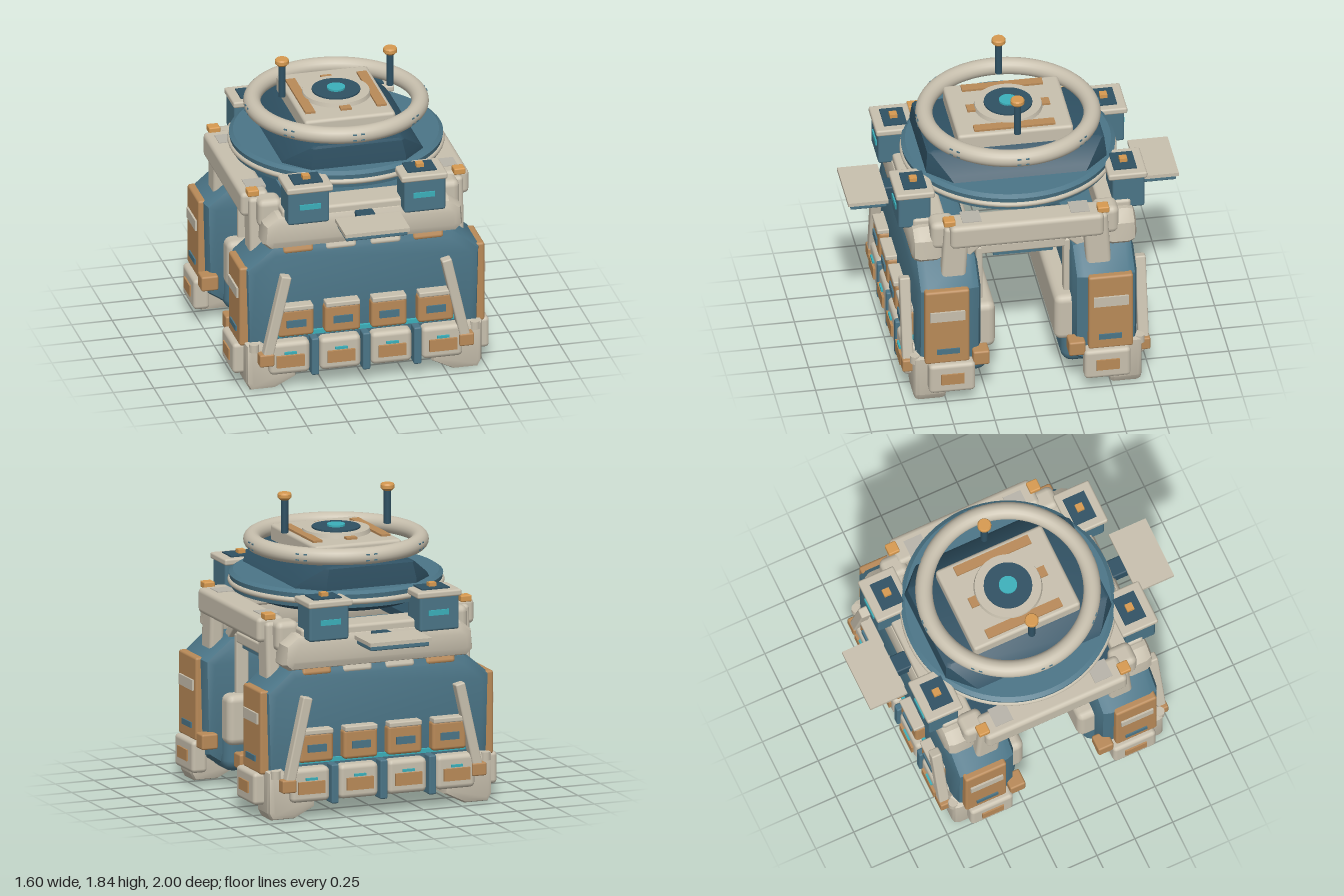
import * as THREE from 'three';
import { RoundedBoxGeometry } from 'three/addons/geometries/RoundedBoxGeometry.js';
import { ConvexGeometry } from 'three/addons/geometries/ConvexGeometry.js';
import { toCreasedNormals } from 'three/addons/utils/BufferGeometryUtils.js';

const mat = (color) => new THREE.MeshStandardMaterial({ color });
const blue = mat(0x4b7587), dark = mat(0x2f5163), beige = mat(0xc8c0ae);
const orange = mat(0xb98a58), amber = mat(0xd79a50), cyan = mat(0x3bb0bb), grey = mat(0xb8b4aa);

function add(parent, name, geometry, material, x = 0, y = 0, z = 0) {
  const mesh = new THREE.Mesh(geometry, material);
  mesh.name = name;
  mesh.position.set(x, y, z);
  parent.add(mesh);
  return mesh;
}

// Box given by its limits; r rounds the edges
function box(parent, name, material, [x0, x1], [y0, y1], [z0, z1], r = 0) {
  const s = [x1 - x0, y1 - y0, z1 - z0];
  const g = r ? new RoundedBoxGeometry(...s, 2, r) : new THREE.BoxGeometry(...s);
  return add(parent, name, g, material, (x0 + x1) / 2, (y0 + y1) / 2, (z0 + z1) / 2);
}

// Span of width w about c
const span = (c, w) => [c - w / 2, c + w / 2];
// Span mirrored by side s
const side = (s, a, b) => (s > 0 ? [a, b] : [-b, -a]);

function cyl(parent, name, material, rTop, rBottom, y0, y1, x = 0, z = 0, n = 48) {
  return add(parent, name, new THREE.CylinderGeometry(rTop, rBottom, y1 - y0, n), material, x, (y0 + y1) / 2, z);
}

// Bevelled slab: front outline pushed from z0 to z1
function slab(parent, name, material, points, z0, z1, bevel) {
  const shape = new THREE.Shape(points.map(([x, y]) => new THREE.Vector2(x, y)));
  const g = new THREE.ExtrudeGeometry(shape, {
    depth: z1 - z0 - 2 * bevel, bevelThickness: bevel, bevelSize: bevel, bevelOffset: -bevel, bevelSegments: 2,
  });
  return add(parent, name, toCreasedNormals(g, 0.6), material, 0, 0, z0 + bevel);
}

// Outline mirrored in x from its right half, listed bottom to top
const mirrored = (half) => [...half, ...half.map(([x, y]) => [-x, y]).reverse()];

function legPod() {
  const pod = new THREE.Group();
  pod.name = 'legPod';
  slab(pod, 'podBody', blue, mirrored([[0.56, 0.1], [0.71, 0.2], [0.725, 0.78], [0.56, 0.92]]), 0.28, 0.665, 0.06);
  box(pod, 'podBelly', blue, [-0.62, 0.62], [0.1, 0.37], [0.22, 0.5], 0.07);
  box(pod, 'innerPanel', beige, [-0.62, 0.62], [0.27, 0.58], [0.178, 0.34], 0.045);

  // Front pouches in two rows
  for (const x of [-0.47, -0.157, 0.157, 0.47]) {
    box(pod, 'lowerPouch', beige, span(x, 0.25), [0.11, 0.32], [0.62, 0.735], 0.03);
    box(pod, 'pouchPatch', orange, span(x, 0.17), [0.165, 0.24], [0.72, 0.75]);
    box(pod, 'pouchLight', cyan, span(x, 0.075), [0.247, 0.262], [0.72, 0.747]);
  }
  for (const x of [-0.43, -0.143, 0.143, 0.43]) {
    box(pod, 'upperPouch', orange, span(x, 0.22), [0.35, 0.53], [0.62, 0.725], 0.02);
    box(pod, 'pouchLid', beige, span(x, 0.21), [0.52, 0.552], [0.62, 0.735], 0.008);
    box(pod, 'pouchSlot', blue, span(x, 0.12), [0.415, 0.46], [0.71, 0.735]);
  }
  for (const x of [-0.315, 0, 0.315])
    box(pod, 'divider', blue, span(x, 0.047), [0.09, 0.33], [0.64, 0.74], 0.01);
  box(pod, 'lightStrip', cyan, [-0.55, 0.55], [0.337, 0.362], [0.64, 0.685]);

  // Tabs along the top edge
  [-0.4, -0.137, 0.137, 0.4].forEach((x, i) => {
    const tab = box(pod, 'topTab', i % 3 ? beige : orange, span(x, 0.19), [0.855, 0.955], [0.57, 0.655], 0.02);
    tab.rotation.x = -0.35;
  });

  for (const s of [1, -1]) {
    // Foot at the outer corner
    const foot = [[0.42, 0.07], [0.55, 0.005], [0.7, 0.005], [0.725, 0.05], [0.725, 0.3], [0.64, 0.32], [0.42, 0.14]];
    slab(pod, 'foot', beige, s > 0 ? foot : foot.map(([x, y]) => [-x, y]).reverse(), 0.49, 0.69, 0.03);

    // Side armour and side pouch
    box(pod, 'sidePanel', orange, side(s, 0.69, 0.755), [0.28, 0.79], [0.36, 0.63], 0.015);
    box(pod, 'sideStripe', beige, side(s, 0.74, 0.767), [0.585, 0.65], [0.39, 0.6]);
    box(pod, 'sideSlot', blue, side(s, 0.74, 0.763), [0.35, 0.385], [0.42, 0.56]);
    box(pod, 'sidePouch', beige, side(s, 0.69, 0.79), [0.09, 0.287], [0.33, 0.61], 0.025);
    box(pod, 'sidePatch', orange, side(s, 0.77, 0.8), [0.155, 0.225], [0.4, 0.54]);
    box(pod, 'sideClip', orange, side(s, 0.66, 0.765), [0.25, 0.345], [0.24, 0.34], 0.012);

    // Slanted guard bar with its clamp
    const bar = box(pod, 'guardBar', beige, span(s * 0.55, 0.062), [0.23, 0.76], [0.68, 0.745], 0.01);
    bar.rotation.z = s * 0.22;
    box(pod, 'barClamp', orange, side(s, 0.57, 0.66), [0.18, 0.26], [0.65, 0.75], 0.01);
    cyl(pod, 'barPeg', beige, 0.03, 0.03, 0.26, 0.31, s * 0.68, 0.68, 12);

    // Inner post
    box(pod, 'innerPost', beige, span(s * 0.5, 0.08), [0.5, 0.94], [0.245, 0.285], 0.01);
  }
  return pod;
}

function frameEnd() {
  const end = new THREE.Group();
  end.name = 'frameEnd';
  // Cross beam with raised ends
  slab(end, 'crossBeam', beige, mirrored([[0.57, 0.9], [0.615, 0.94], [0.605, 1.06], [0.53, 1.12]]), 0.48, 0.68, 0.05);
  box(end, 'deck', beige, [-0.5, 0.5], [1.05, 1.155], [0.46, 0.66], 0.02);

  for (const s of [1, -1]) {
    // Equipment box with lid and button
    box(end, 'equipmentBox', blue, side(s, 0.23, 0.485), [1.09, 1.31], [0.55, 0.745], 0.015);
    box(end, 'boxLid', beige, side(s, 0.21, 0.495), [1.295, 1.335], [0.525, 0.76], 0.012);
    box(end, 'lidInset', dark, side(s, 0.26, 0.44), [1.32, 1.343], [0.565, 0.705]);
    box(end, 'lidButton', amber, span(s * 0.35, 0.045), [1.33, 1.366], [0.613, 0.658]);
    box(end, 'boxLight', cyan, side(s, 0.285, 0.415), [1.187, 1.22], [0.73, 0.753]);

    // Corner post, leaning inward at the top
    const post = box(end, 'cornerPost', beige, side(s, 0.57, 0.66), [0.8, 1.17], span(0.43, 0.15), 0.025);
    post.rotation.x = -0.06;
    box(end, 'postShoulder', beige, side(s, 0.47, 0.62), [1.0, 1.185], [0.42, 0.57], 0.04);
    box(end, 'cornerButton', amber, side(s, 0.6, 0.67), [1.19, 1.23], [0.43, 0.5], 0.008);
    box(end, 'beamPad', grey, side(s, 0.53, 0.65), [1.19, 1.204], [0.27, 0.385]);

    // Diagonal brace under the side beam
    const brace = box(end, 'brace', beige, span(s * 0.52, 0.08), span(0.985, 0.06), span(0.28, 0.22), 0.01);
    brace.rotation.x = 0.75;
  }

  // Folding tray
  box(end, 'tray', beige, [-0.2, 0.2], [1.09, 1.113], [0.757, 1]);
  box(end, 'trayBase', blue, [-0.19, 0.19], [1.06, 1.095], [0.765, 0.985], 0.008);
  box(end, 'trayBracket', dark, [-0.057, 0.057], [1.025, 1.108], [0.64, 0.8], 0.01);
  return end;
}

function turret() {
  const top = new THREE.Group();
  top.name = 'turret';
  cyl(top, 'turretSkirt', dark, 0.54, 0.47, 1.19, 1.255, 0, 0, 64);
  cyl(top, 'turretDisc', blue, 0.64, 0.625, 1.245, 1.33, 0, 0, 64);
  cyl(top, 'turretDiscTop', blue, 0.615, 0.64, 1.33, 1.347, 0, 0, 64);
  const band = add(top, 'discBand', new THREE.TorusGeometry(0.63, 0.018, 10, 72), beige, 0, 1.285, 0);
  band.rotation.x = Math.PI / 2;

  // Sloped body with clipped lower corners
  const corners = [];
  for (const [w, d, c, y] of [[0.44, 0.545, 0.15, 1.34], [0.41, 0.545, 0.12, 1.38], [0.29, 0.535, 0.02, 1.475], [0.27, 0.52, 0.02, 1.487]])
    for (const sx of [1, -1])
      for (const sz of [1, -1])
        corners.push(new THREE.Vector3(sx * w, y, sz * (d - c)), new THREE.Vector3(sx * (w - c), y, sz * d));
  add(top, 'turretBody', toCreasedNormals(new ConvexGeometry(corners), 0.5), dark);

  // Roof plate and hatch
  box(top, 'roofPlate', beige, [-0.28, 0.28], [1.46, 1.575], [-0.35, 0.35], 0.02);
  cyl(top, 'hatchRim', beige, 0.2, 0.21, 1.56, 1.6);
  cyl(top, 'hatch', dark, 0.145, 0.145, 1.59, 1.61);
  cyl(top, 'hatchLight', cyan, 0.055, 0.055, 1.6, 1.622, 0, 0, 32);

  // Handrail ring with pairs of small slots
  const ring = add(top, 'railRing', new THREE.TorusGeometry(0.502, 0.052, 20, 80), beige, 0, 1.53, 0);
  ring.rotation.x = Math.PI / 2;
  for (let i = 0; i < 8; i++) {
    const mark = new THREE.Group();
    mark.name = 'railMark';
    mark.rotation.y = (i * Math.PI) / 4;
    for (const x of [-0.025, 0.025])
      for (const y of [1.512, 1.548])
        box(mark, 'railSlot', blue, span(x, 0.022), span(y, 0.008), [0.53, 0.553]);
    top.add(mark);
  }

  for (const s of [1, -1]) {
    box(top, 'roofStrip', orange, side(s, 0.19, 0.25), [1.56, 1.588], [-0.245, 0.245]);
    box(top, 'roofTab', orange, [-0.033, 0.033], [1.56, 1.588], side(s, 0.2, 0.25));
    // Antenna
    cyl(top, 'antennaRod', dark, 0.022, 0.022, 1.595, 1.81, s * 0.333, 0, 16);
    box(top, 'antennaCap', amber, span(s * 0.333, 0.01), [1.8, 1.81], [-0.005, 0.005]);
    cyl(top, 'antennaCapTop', amber, 0.036, 0.042, 1.832, 1.841, s * 0.333, 0, 20);
    cyl(top, 'antennaCapRim', amber, 0.042, 0.042, 1.812, 1.832, s * 0.333, 0, 20);
    cyl(top, 'antennaCapBase', amber, 0.042, 0.028, 1.798, 1.812, s * 0.333, 0, 20);
  }
  return top;
}

export function createModel() {
  const model = new THREE.Group();
  model.name = 'walker';
  // Front and back ends are the same, turned half round
  for (const angle of [0, Math.PI]) {
    for (const part of [legPod(), frameEnd()]) {
      part.rotation.y = angle;
      model.add(part);
    }
  }
  // Side beams and the lower rails between the pods
  for (const s of [1, -1]) {
    box(model, 'sideBeam', beige, side(s, 0.53, 0.703), [1.045, 1.2], [-0.465, 0.465], 0.03);
    box(model, 'lowerRail', beige, span(s * 0.5, 0.08), [0.89, 0.957], [-0.26, 0.26], 0.012);
    box(model, 'railPad', blue, span(s * 0.5, 0.06), [0.87, 0.895], [-0.18, 0.18]);
    box(model, 'underPlate', dark, span(s * 0.46, 0.16), [1.02, 1.07], [-0.46, 0.46]);
  }
  model.add(turret());
  return model;
}
